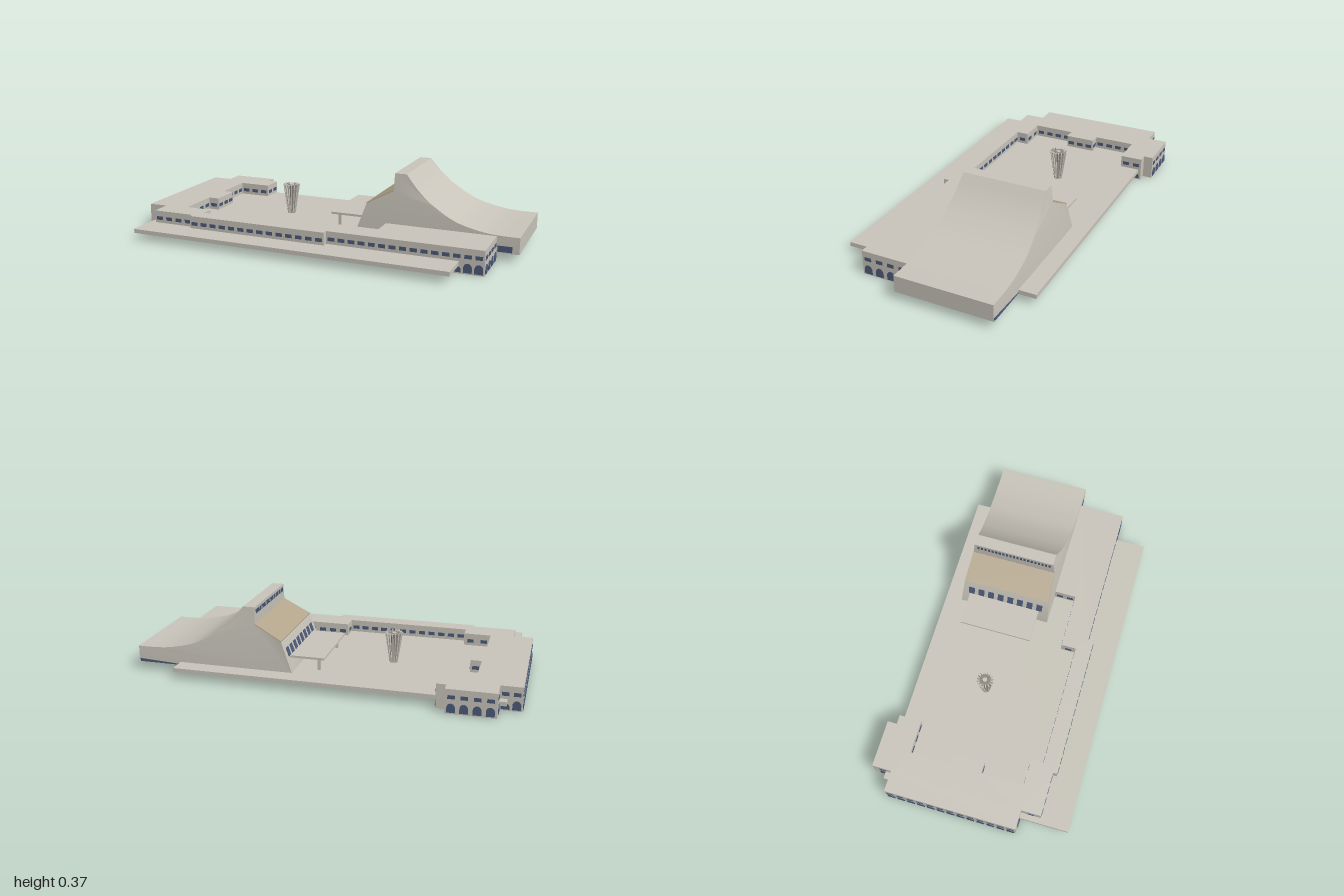
import * as THREE from 'three';
import { toCreasedNormals } from 'three/addons/utils/BufferGeometryUtils.js';

const mat = (name, color) => {
  const m = new THREE.MeshStandardMaterial({ color });
  m.name = name;
  return m;
};
const shapeOf = (pts) => new THREE.Shape(pts.map(([a, b]) => new THREE.Vector2(a, b)));

// Library walls lean inwards above the plaza level
const sides = (y) => {
  const t = THREE.MathUtils.clamp((y - 0.12) / 0.25, 0, 1) * 0.031;
  return [-0.391 + t, 0.097 - t];
};

// Extrude a side profile across the library, following the leaning walls
function leaningSolid(shape) {
  const g = new THREE.ExtrudeGeometry(shape, { depth: 1, bevelEnabled: false, curveSegments: 16 });
  const p = g.attributes.position;
  for (let i = 0; i < p.count; i++) {
    const [back, front] = sides(p.getY(i));
    p.setZ(i, THREE.MathUtils.lerp(back, front, p.getZ(i)));
  }
  g.deleteAttribute('normal');
  return toCreasedNormals(g, 0.4);
}

export function createModel() {
  const stone = mat('stone', 0xc8c4ba);
  const tan = mat('tanSoffit', 0xb3a58c);
  const glass = mat('blueGlass', 0x4c5a78);
  const shade = mat('greyStone', 0x8a867c);

  const model = new THREE.Group();
  model.name = 'plazaComplex';
  const site = new THREE.Group();
  site.name = 'site';
  site.rotation.y = 0.471;
  model.add(site);

  const add = (parent, name, geo, material, x = 0, y = 0, z = 0) => {
    const m = new THREE.Mesh(geo, material);
    m.name = name;
    m.position.set(x, y, z);
    parent.add(m);
    return m;
  };

  // Plaza deck
  add(site, 'plazaDeck', new THREE.BoxGeometry(1.652, 0.021, 0.976), stone, 0, 0.0475, 0.011);
  add(site, 'deckFooting', new THREE.CylinderGeometry(0.11, 0.11, 0.004, 32), stone, -0.223, 0.036, -0.113);

  // Long building wrapped around the plaza
  const outline = [
    [-0.896, -0.44], [-0.896, 0.245], [-0.797, 0.245], [-0.797, 0.348], [-0.571, 0.348],
    [-0.571, 0.37], [0.174, 0.37], [0.174, 0.34], [0.945, 0.34], [0.945, 0.097],
    [0.393, 0.097], [0.393, 0.21], [0.104, 0.21], [0.104, 0.288], [-0.536, 0.288],
    [-0.536, 0.224], [-0.676, 0.224], [-0.676, 0.002], [-0.617, 0.002], [-0.617, -0.157],
    [-0.673, -0.157], [-0.673, -0.375], [-0.502, -0.375], [-0.502, -0.491], [-0.55, -0.491],
    [-0.55, -0.54], [-0.79, -0.54], [-0.79, -0.44],
  ];
  const block = new THREE.ExtrudeGeometry(shapeOf(outline), { depth: 0.122, bevelEnabled: false });
  block.rotateX(Math.PI / 2);
  add(site, 'perimeterBuilding', block, stone, 0, 0.122, 0);

  // Two rows of windows along every free wall
  const windows = new THREE.Group();
  windows.name = 'buildingWindows';
  site.add(windows);
  const pane = new THREE.BoxGeometry(0.034, 0.018, 0.003);
  const archShape = new THREE.Shape();
  archShape.moveTo(-0.02, 0);
  archShape.lineTo(0.02, 0);
  archShape.lineTo(0.02, 0.014);
  archShape.absellipse(0, 0.014, 0.02, 0.014, 0, Math.PI, false);
  const arch = new THREE.ExtrudeGeometry(archShape, { depth: 0.003, bevelEnabled: false, curveSegments: 5 });
  outline.forEach(([u0, v0], i) => {
    const [u1, v1] = outline[(i + 1) % outline.length];
    if (v0 === 0.097 && v1 === 0.097) return;
    const len = Math.hypot(u1 - u0, v1 - v0);
    const nx = -(v1 - v0) / len, nz = (u1 - u0) / len;
    const count = Math.floor((len - 0.005) / 0.05);
    for (let k = 0; k < count; k++) {
      const t = (k + 0.5) / count;
      const u = u0 + (u1 - u0) * t + nx * 0.001;
      const v = v0 + (v1 - v0) * t + nz * 0.001;
      const angle = Math.atan2(nx, nz);
      add(windows, 'upperWindow', pane, glass, u, 0.083, v).rotation.y = angle;
      const low = add(windows, 'lowerArch', arch, glass, u, 0.007, v);
      low.rotation.y = angle;
      // walls clear of the deck have taller arches
      if (Math.abs(u) > 0.83 || v < -0.48) low.scale.y = 1.6;
    }
  });

  // Library with sweeping concave roof
  const library = new THREE.Group();
  library.name = 'library';
  site.add(library);
  const profile = new THREE.Shape();
  profile.moveTo(0.231, 0.042);
  profile.lineTo(1.054, 0.042);
  profile.lineTo(1.054, 0.125);
  profile.splineThru([[0.95, 0.126], [0.855, 0.137], [0.74, 0.168], [0.63, 0.23], [0.55, 0.297], [0.485, 0.372]]
    .map(([a, b]) => new THREE.Vector2(a, b)));
  profile.lineTo(0.424, 0.372);
  profile.lineTo(0.424, 0.285);
  profile.lineTo(0.285, 0.21);
  profile.lineTo(0.231, 0.06);
  profile.closePath();
  add(library, 'libraryBody', leaningSolid(profile), stone);
  add(library, 'slopedFront',
    leaningSolid(shapeOf([[0.285, 0.21], [0.424, 0.285], [0.422, 0.289], [0.283, 0.214]])), tan);

  // Library front windows
  const slot = new THREE.BoxGeometry(0.011, 0.022, 0.003);
  for (let i = 0; i < 21; i++) {
    add(library, 'topSlotWindow', slot, glass, 0.4235, 0.347, -0.34 + i * 0.0194).rotation.y = -Math.PI / 2;
  }
  const entry = new THREE.BoxGeometry(0.032, 0.045, 0.004);
  for (let i = 0; i < 8; i++) {
    const m = add(library, 'entranceWindow', entry, glass, 0.263, 0.15, -0.337 + i * 0.054);
    m.rotation.order = 'YXZ';
    m.rotation.set(-0.345, -Math.PI / 2, 0);
  }

  // Tapering glazing strips below the rear overhang
  const wedge = new THREE.ExtrudeGeometry(shapeOf([[0.74, 0.042], [1.05, 0.042], [1.05, 0.058]]),
    { depth: 0.003, bevelEnabled: false });
  add(library, 'backGlazing', wedge, glass, 0, 0, -0.3925);
  add(library, 'frontGlazing', new THREE.BoxGeometry(0.07, 0.03, 0.003), glass, 0.985, 0.062, 0.0975);

  // Entrance canopy on posts
  const canopy = new THREE.Group();
  canopy.name = 'entranceCanopy';
  site.add(canopy);
  add(canopy, 'canopyRoof', new THREE.BoxGeometry(0.175, 0.011, 0.386), stone, 0.164, 0.127, -0.152);
  for (const v of [-0.31, 0.008]) {
    add(canopy, 'canopyPost', new THREE.BoxGeometry(0.014, 0.066, 0.014), stone, 0.112, 0.09, v);
  }

  // Flared fountain sculpture with radial fins
  const sculpture = new THREE.Group();
  sculpture.name = 'flaredSculpture';
  sculpture.position.set(-0.223, 0, -0.113);
  site.add(sculpture);
  add(sculpture, 'core', new THREE.CylinderGeometry(0.033, 0.016, 0.155, 16), shade, 0, 0.1355, 0);
  add(sculpture, 'cap', new THREE.CylinderGeometry(0.012, 0.012, 0.004, 12), stone, 0, 0.215, 0);
  const fin = new THREE.ExtrudeGeometry(
    shapeOf([[0.012, 0.056], [0.021, 0.056], [0.045, 0.218], [0.029, 0.218]]),
    { depth: 0.005, bevelEnabled: false });
  fin.translate(0, 0, -0.0025);
  for (let i = 0; i < 16; i++) {
    add(sculpture, 'fin', fin, stone).rotation.y = (i * Math.PI) / 8;
  }

  return model;
}
